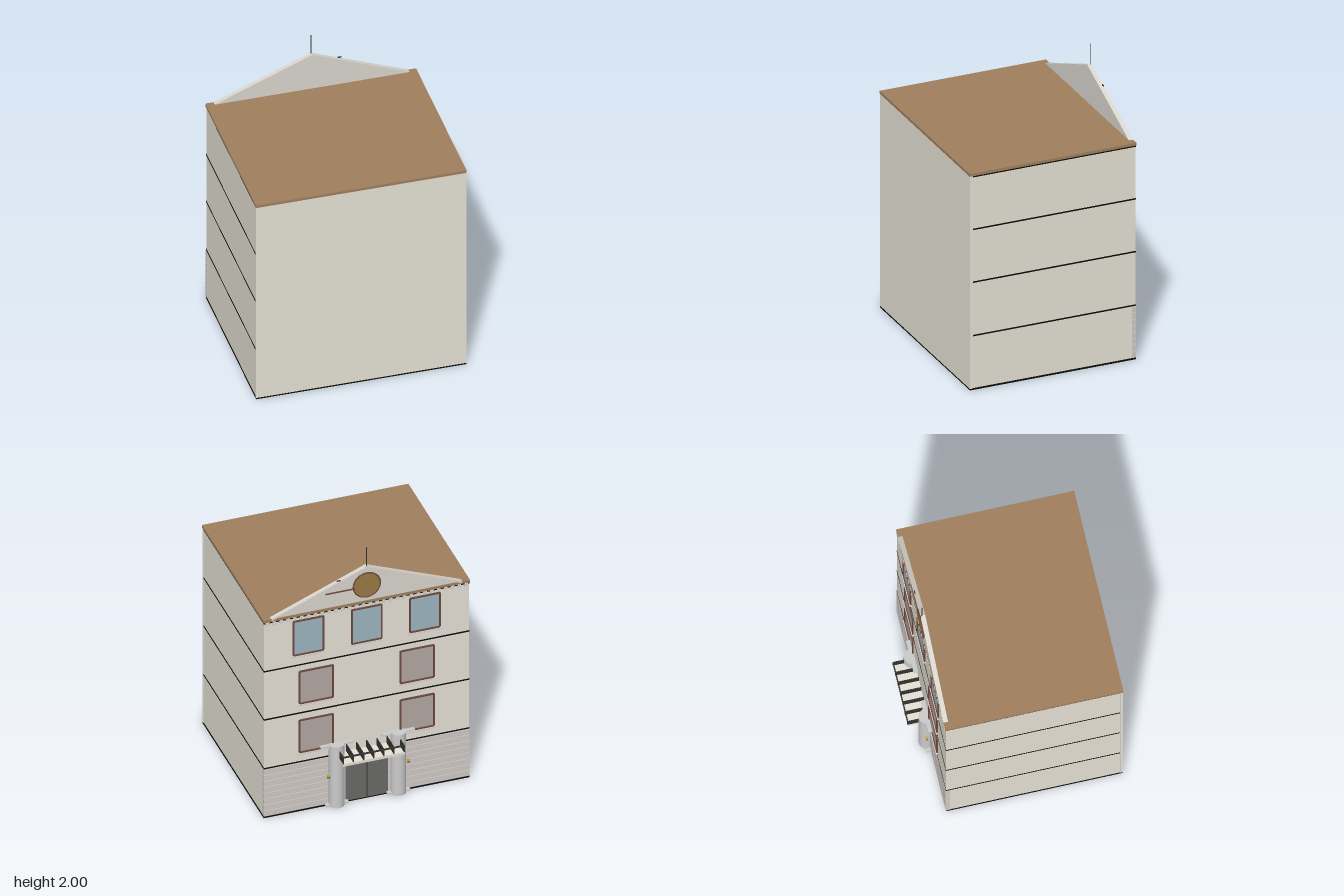
import * as THREE from 'three';

const mat = (color, side = THREE.FrontSide) => new THREE.MeshStandardMaterial({ color, side });
const M = {
  wall: mat(0xe6e2d6), roof: mat(0xa0805f), band: mat(0x0c0c0c), stone: mat(0xcccccc),
  trim: mat(0xd9d6ce), siding: mat(0xd2cac6), frame: mat(0x6e4a40), sky: mat(0x9db6c2),
  pane: mat(0xb3a8a2), door: mat(0x6a6a68), dark: mat(0x33332f), gold: mat(0x9c7a45),
  lamp: mat(0xc8b050),
};

// Box given by its limits on each axis
function box(parent, name, m, x0, x1, y0, y1, z0, z1) {
  const mesh = new THREE.Mesh(new THREE.BoxGeometry(x1 - x0, y1 - y0, z1 - z0), m);
  mesh.position.set((x0 + x1) / 2, (y0 + y1) / 2, (z0 + z1) / 2);
  mesh.name = name;
  parent.add(mesh);
  return mesh;
}

function add(parent, name, geometry, m, x, y, z) {
  const mesh = new THREE.Mesh(geometry, m);
  mesh.position.set(x, y, z);
  mesh.name = name;
  parent.add(mesh);
  return mesh;
}

const HALF = 0.725, FRONT = 0.675, BACK = -0.53;

// Framed window with cross bars and a sill on the entrance facade
function makeWindow(x, y, w, h, glass) {
  const g = new THREE.Group();
  g.name = 'window';
  const t = 0.011, a = w / 2, b = h / 2;
  box(g, 'pane', glass, -a, a, -b, b, -0.002, 0.004);
  for (const s of [-1, 1]) {
    box(g, 'jamb', M.frame, s * a - t / 2, s * a + t / 2, -b, b, -0.009, 0.004);
    box(g, 'rail', M.frame, -a, a, s * b - t / 2, s * b + t / 2, -0.009, 0.004);
  }
  box(g, 'sill', M.trim, -a - 0.012, a + 0.012, -b - 0.016, -b - 0.005, -0.014, 0.004);
  g.position.set(x, y, BACK);
  return g;
}

// Round entrance column with plates at foot and head and a lantern outside
function makeColumn(side) {
  const g = new THREE.Group();
  g.name = 'entranceColumn';
  const x = side * 0.217, z = -0.547;
  add(g, 'shaft', new THREE.CylinderGeometry(0.053, 0.053, 0.485, 32), M.stone, x, 0.2525, z);
  box(g, 'headPlate', M.stone, x - 0.115, x + 0.115, 0.482, 0.492, -0.56, BACK);
  box(g, 'footPlate', M.stone, x - 0.08, x + 0.08, 0.012, 0.024, -0.565, BACK);
  const lx = x + side * 0.064;
  box(g, 'lanternArm', M.dark, lx - 0.014, lx + 0.006, 0.238, 0.243, -0.563, -0.557);
  add(g, 'lantern', new THREE.CylinderGeometry(0.011, 0.007, 0.024, 8), M.lamp, lx, 0.256, -0.56);
  return g;
}

// Canopy slab carried under a row of dark ribs
function makeCanopy() {
  const g = new THREE.Group();
  g.name = 'canopy';
  box(g, 'canopySlab', M.wall, -0.217, 0.217, 0.387, 0.408, -0.675, BACK);
  for (let i = 0; i < 7; i++) {
    const x = -0.214 + i * 0.428 / 6;
    box(g, 'canopyRib', M.dark, x - 0.003, x + 0.003, 0.408, 0.462, -0.677, BACK);
  }
  box(g, 'canopyRail', M.dark, -0.217, 0.217, 0.454, 0.464, -0.678, -0.67);
  return g;
}

function makePediment() {
  const g = new THREE.Group();
  g.name = 'pediment';
  const tri = new THREE.Shape();
  tri.moveTo(-0.68, 0);
  tri.lineTo(0.68, 0);
  tri.lineTo(0, 0.275);
  tri.closePath();
  const geo = new THREE.ExtrudeGeometry(tri, { depth: 0.026, bevelEnabled: false });
  add(g, 'gable', geo, M.trim, 0, 1.577, -0.531);

  // Raking mouldings along the two slopes
  const len = Math.hypot(0.68, 0.275), ang = Math.atan2(0.275, 0.68);
  for (const s of [-1, 1]) {
    const m = add(g, 'rakingMoulding', new THREE.BoxGeometry(len - 0.02, 0.012, 0.008), M.trim,
      s * 0.34, 1.577 + 0.1375 - 0.008, -0.533);
    m.rotation.z = -s * ang;
  }

  // Round medallion with a rim, and a short bar beside it
  const disc = add(g, 'medallion', new THREE.CylinderGeometry(0.095, 0.095, 0.006, 40), M.gold, 0, 1.705, -0.533);
  disc.rotation.x = Math.PI / 2;
  add(g, 'medallionRim', new THREE.TorusGeometry(0.095, 0.005, 8, 40), M.frame, 0, 1.705, -0.535);
  box(g, 'ornamentBar', M.frame, 0.08, 0.29, 1.688, 1.696, -0.538, BACK);
  box(g, 'ornamentTip', M.dark, 0.185, 0.21, 1.775, 1.782, -0.534, -0.528);

  add(g, 'mast', new THREE.CylinderGeometry(0.003, 0.003, 0.165, 8), M.dark, 0, 1.9175, -0.528);
  return g;
}

export function createModel() {
  const model = new THREE.Group();
  model.name = 'building';

  // Walls
  box(model, 'walls', M.wall, -HALF + 0.003, HALF - 0.003, 0.005, 1.56, BACK, 0.657);
  box(model, 'frontWall', M.wall, -HALF, HALF, 0.01, 1.56, 0.655, FRONT);

  // Floor slabs showing as dark lines on the sides and entrance facade
  box(model, 'baseSlab', M.band, -HALF, HALF, 0, 0.012, BACK - 0.001, FRONT);
  for (const y of [0.395, 0.785, 1.17, 1.555])
    box(model, 'floorBand', M.band, -HALF + 0.001, HALF - 0.001, y - 0.005, y + 0.005, BACK - 0.002, 0.656);

  // Flat roof and the small blocks under its edge
  box(model, 'roof', M.roof, -HALF - 0.002, HALF + 0.002, 1.56, 1.58, -0.535, 0.677);
  for (let i = 0; i < 30; i++) {
    const x = -0.7 + i * 1.4 / 29;
    box(model, 'dentil', M.trim, x - 0.012, x + 0.012, 1.535, 1.56, -0.538, BACK);
  }

  // Horizontal cladding of the ground floor
  for (let i = 0; i < 8; i++) {
    const y = 0.014 + i * 0.047;
    box(model, 'claddingBoard', M.siding, -HALF, HALF, y, y + 0.043, BACK - 0.003, -0.505);
  }

  // Windows
  for (const x of [-0.41, 0, 0.41]) model.add(makeWindow(x, 1.39, 0.21, 0.27, M.sky));
  for (const y of [0.6, 0.99])
    for (const x of [-0.355, 0.355]) model.add(makeWindow(x, y, 0.235, 0.255, M.pane));

  // Entrance
  box(model, 'door', M.door, -0.15, 0.15, 0.012, 0.365, -0.537, BACK);
  box(model, 'doorDivide', M.dark, -0.004, 0.004, 0.012, 0.365, -0.54, BACK);
  for (const s of [-1, 1]) model.add(makeColumn(s));
  model.add(makeCanopy(), makePediment());

  return model;
}
